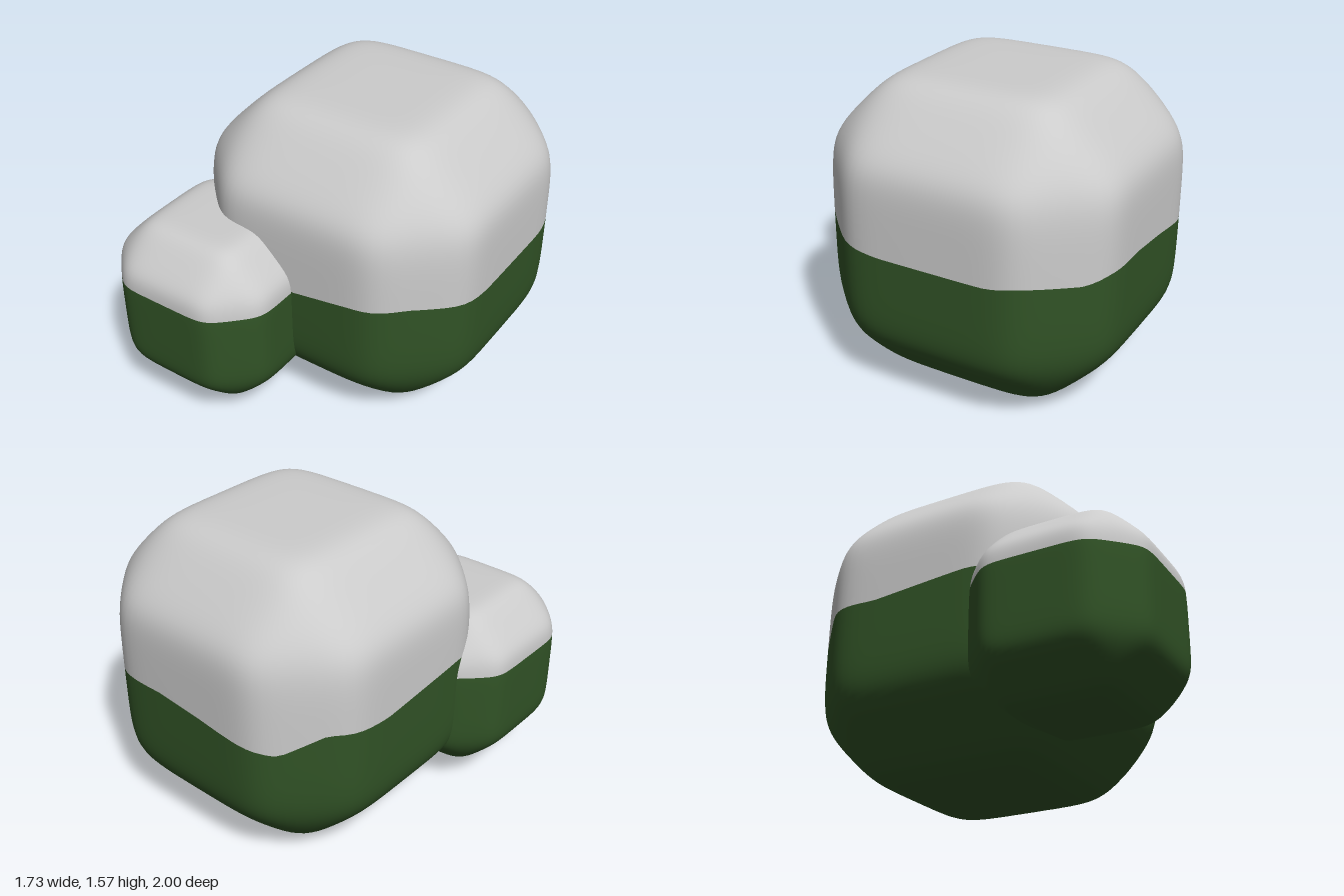
import * as THREE from 'three';

// Chamfered cube as softly blended planes (first octant, mirrored by symmetry): normal and distance
const FACE = 0.785, EDGE = 1.23, CORNER = 1.675, SHARP = 22;
const PLANES = [
  [1, 0, 0, FACE], [0, 1, 0, FACE], [0, 0, 1, FACE],
  [1, 1, 0, EDGE], [0, 1, 1, EDGE], [1, 0, 1, EDGE],
  [1, 1, 1, CORNER],
];

// Surface point and smooth normal along a direction from the centre
function surfaceAt(dir) {
  const a = [Math.abs(dir.x), Math.abs(dir.y), Math.abs(dir.z)];
  const normal = new THREE.Vector3();
  let sum = 0;
  for (const [x, y, z, h] of PLANES) {
    const q = (a[0] * x + a[1] * y + a[2] * z) / h;
    sum += q ** SHARP;
    const w = q ** (SHARP - 1) / h;
    normal.add(new THREE.Vector3(x * w, y * w, z * w));
  }
  normal.multiply(new THREE.Vector3(Math.sign(dir.x), Math.sign(dir.y), Math.sign(dir.z))).normalize();
  return { point: dir.clone().multiplyScalar(sum ** (-1 / SHARP)), normal };
}

function direction(azimuth, elevation) {
  const c = Math.cos(elevation);
  return new THREE.Vector3(Math.sin(azimuth) * c, Math.sin(elevation), Math.cos(azimuth) * c);
}

// Height of the wavy colour line around the large block: [degrees, height above centre]
const WAVE = [
  [0, -0.02], [22, 0.03], [41, 0.045], [71, 0.01], [112, 0.01], [122, 0.03], [142, 0.01], [151, 0.04],
  [168, 0.047], [188, 0.02], [217, -0.04], [232, 0.065], [254, 0.04], [293, 0.085], [320, 0.02], [360, -0.02],
];

function waveHeight(azimuth) {
  const deg = THREE.MathUtils.radToDeg(azimuth);
  const i = Math.max(1, WAVE.findIndex(([d]) => d >= deg - 1e-6));
  const [d0, h0] = WAVE[i - 1], [d1, h1] = WAVE[i];
  return THREE.MathUtils.lerp(h0, h1, (deg - d0) / (d1 - d0));
}

// Half shell from the colour line to the top or bottom pole
function shell(lineHeight, upper) {
  const cols = 120, rows = 48;
  const positions = [], normals = [], index = [];
  for (let j = 0; j <= rows; j++) {
    for (let i = 0; i <= cols; i++) {
      const azimuth = (i / cols) * Math.PI * 2;
      const wall = surfaceAt(direction(azimuth, 0)).point.length();
      const line = Math.atan2(lineHeight(azimuth), wall);
      const from = upper ? line : -Math.PI / 2;
      const to = upper ? Math.PI / 2 : line;
      const { point, normal } = surfaceAt(direction(azimuth, THREE.MathUtils.lerp(from, to, j / rows)));
      positions.push(...point.toArray());
      normals.push(...normal.toArray());
      if (i < cols && j < rows) {
        const a = j * (cols + 1) + i, b = a + 1, c = a + cols + 1, d = c + 1;
        index.push(a, b, d, a, d, c);
      }
    }
  }
  const geometry = new THREE.BufferGeometry();
  geometry.setAttribute('position', new THREE.Float32BufferAttribute(positions, 3));
  geometry.setAttribute('normal', new THREE.Float32BufferAttribute(normals, 3));
  geometry.setIndex(index);
  return geometry;
}

export function createModel() {
  const model = new THREE.Group();
  const leaf = new THREE.MeshStandardMaterial({ color: 0x315326 });
  const cap = new THREE.MeshStandardMaterial({ color: 0xcccccc });

  function addBush(name, position, scale, lineHeight) {
    const bush = new THREE.Group();
    bush.name = name;
    const foliage = new THREE.Mesh(shell(lineHeight, false), leaf);
    foliage.name = name + 'Foliage';
    const snow = new THREE.Mesh(shell(lineHeight, true), cap);
    snow.name = name + 'SnowCap';
    bush.add(foliage, snow);
    bush.position.set(...position);
    bush.scale.setScalar(scale);
    model.add(bush);
  }

  // Large block at the back, small block at the front corner
  addBush('largeBush', [0.075, 0.788, -0.215], 1.003, waveHeight);
  addBush('smallBush', [-0.403, 0.58, 0.536], 0.592, () => 0.305);
  return model;
}
